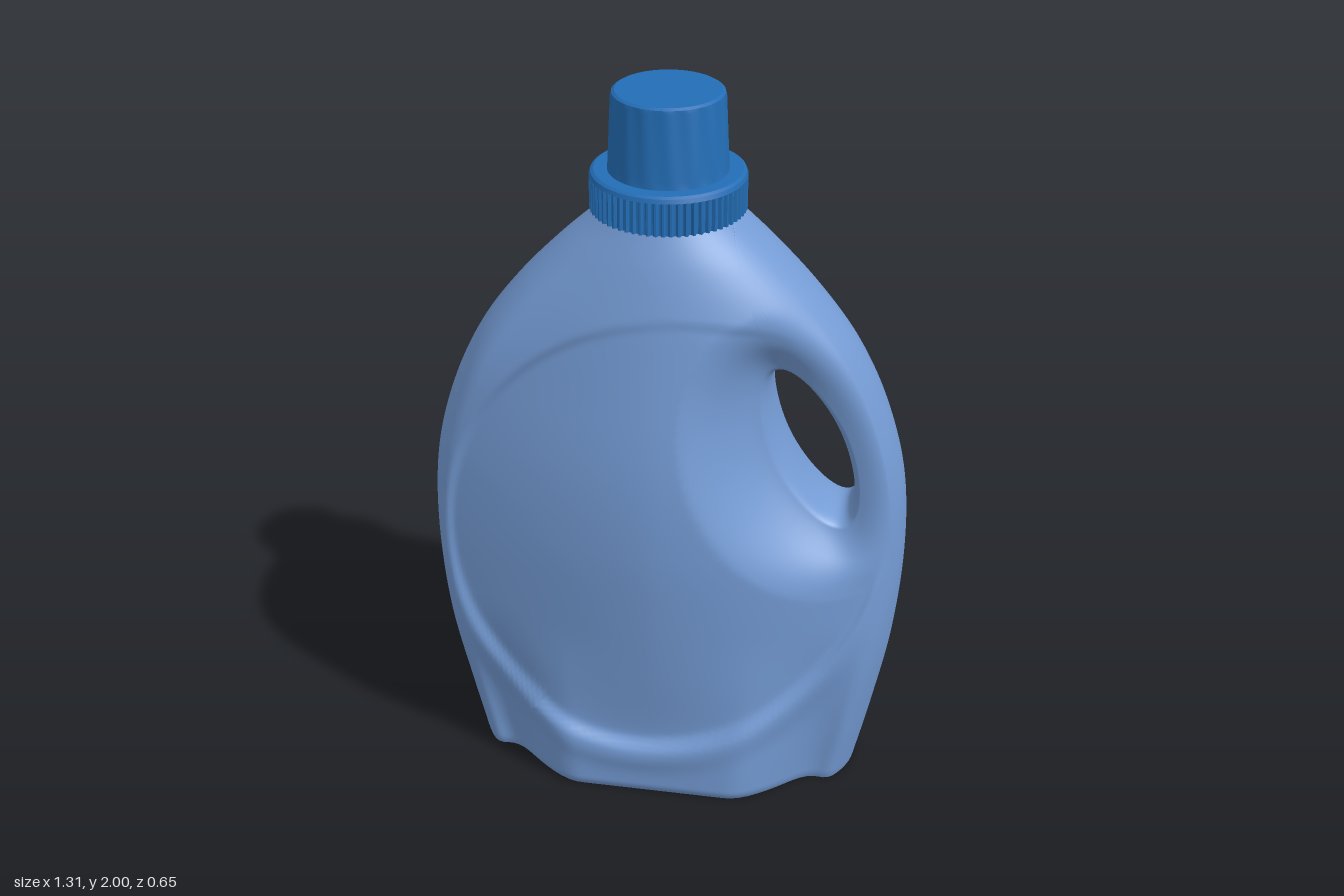
import * as THREE from 'three';
import { mergeVertices, toCreasedNormals } from 'three/addons/utils/BufferGeometryUtils.js';

const step = THREE.MathUtils.smoothstep;
const lerp = THREE.MathUtils.lerp;
const fall = (v, hi, lo) => 1 - step(v, lo, hi);
const bell = (v, c, s) => Math.exp(-(((v - c) / s) ** 2));

// Smooth interpolation through [y, value] pairs
function profile(pts) {
  const n = pts.length - 1;
  const slope = (i) => {
    const a = pts[Math.max(i - 1, 0)], b = pts[Math.min(i + 1, n)];
    return (b[1] - a[1]) / (b[0] - a[0]);
  };
  return (y) => {
    let i = 0;
    while (i < n - 1 && y > pts[i + 1][0]) i++;
    const [y0, v0] = pts[i], [y1, v1] = pts[i + 1];
    const h = y1 - y0, t = Math.min(1, Math.max(0, (y - y0) / h));
    const t2 = t * t, t3 = t2 * t;
    return (2 * t3 - 3 * t2 + 1) * v0 + (t3 - 2 * t2 + t) * h * slope(i)
      + (3 * t2 - 2 * t3) * v1 + (t3 - t2) * h * slope(i + 1);
  };
}

const TOP = 1.73;
// Half width and half depth of the bottle by height
const halfWidth = profile([[0, 0.543], [0.2, 0.587], [0.45, 0.633], [0.72, 0.654], [0.95, 0.641],
  [1.15, 0.588], [1.32, 0.508], [1.46, 0.405], [1.58, 0.292], [1.69, 0.175], [TOP, 0.155]]);
const halfDepth = profile([[0, 0.296], [0.1, 0.297], [0.2, 0.298], [0.4, 0.317], [0.6, 0.332],
  [0.8, 0.341], [1, 0.334], [1.2, 0.307], [1.4, 0.266], [1.5, 0.24], [1.6, 0.209], [1.69, 0.172], [TOP, 0.155]]);

// Tilted elliptical handle hole and the wider recess around it
const hole = { x: 0.395, y: 1.058, cos: 0.4, sin: -0.916, a: 0.227, b: 0.078 };
const recess = { a: 0.44, b: 0.3 };
function holeFrame(x, y) {
  const dx = x - hole.x, dy = y - hole.y;
  return [dx * hole.cos + dy * hole.sin, -dx * hole.sin + dy * hole.cos];
}
// 0 on the hole edge, 1 on the recess edge
function recessParam(x, y) {
  const [p, q] = holeFrame(x, y);
  const ang = Math.atan2(q / hole.b, p / hole.a);
  const c = Math.cos(ang), s = Math.sin(ang);
  const inner = Math.hypot(hole.a * c, hole.b * s);
  const r = Math.hypot(p, q);
  const outer = r / Math.hypot(p / recess.a, q / recess.b);
  return Math.min(1, Math.max(0, (r - inner) / (outer - inner)));
}

function softMin(a, b, k) {
  const h = Math.max(k - Math.abs(a - b), 0) / k;
  return Math.min(a, b) - h * h * k * 0.25;
}

// Half thickness of the bottle at any point of its front outline
function thickness(x, y) {
  const w = halfWidth(y), D = halfDepth(y);
  const u = Math.min(1, Math.abs(x) / w);
  const q = recessParam(x, y);
  const low = fall(y, 0.55, 0);

  // side band, thinning upward into the grip
  const grip = step(x, 0, 0.4);
  const E = lerp(lerp(0.165, 0.154, low), lerp(0.154, 0.117, step(y, 0.1, 0.9)), grip);

  // bulging faces, with flutes beside the foot
  const bulge = Math.max(0, 1 - (u / 0.95) ** 1.7);
  let z = E + (D - E) * lerp(bulge, fall(u, 0.86, 0.38), low) - 0.013 * low * bell(u, 0.77, 0.1);

  // sunken oval panel, leaning right, with a raised lower rim
  const e = Math.hypot((x - 0.015 - 0.09 * (y - 0.812)) / 0.615, (y - 0.812) / 0.668);
  const sunk = 0.016 + 0.006 * fall(y, 0.8, 0.2);
  z -= sunk * fall(e, 1.0, 0.945) * step(q, 0.5, 1);
  z += 0.01 * fall(y, 0.8, 0.35) * fall(u, 1, 0.7) * bell(e, 1.03, 0.065);

  // rounded side wall, turning into a round neck
  const edge = E * Math.sqrt(Math.max(0, w - Math.abs(x)) / lerp(0.045, 0.06, low));
  z = softMin(z, edge, 0.03);
  z = lerp(z, D * Math.sqrt(Math.max(0, 1 - u * u)), step(y, 1.2, 1.65));

  // recess sinking to the hole
  const lip = 0.1 * Math.sqrt(1 - (1 - Math.min(1, q / 0.14)) ** 2);
  z = lerp(Math.min(lip, z), z, 0.35 * q + 0.65 * step(q, 0.04, 1));

  // small rounding of the foot
  if (y < 0.03) z *= 1 - 0.04 * (1 - y / 0.03) ** 2;
  return Math.max(0, z);
}

// Outline points, counter-clockwise from the lower right corner
function outline() {
  const pts = [], SIDE = 90, NECK = 24, BASE = 60;
  for (let i = 0; i < SIDE; i++) { const y = TOP * i / SIDE; pts.push([halfWidth(y), y]); }
  for (let i = 0; i < NECK; i++) pts.push([halfWidth(TOP) * Math.cos(Math.PI * i / NECK), TOP]);
  for (let i = 0; i < SIDE; i++) { const y = TOP * (1 - i / SIDE); pts.push([-halfWidth(y), y]); }
  for (let i = 0; i < BASE; i++) pts.push([-halfWidth(0) * Math.cos(Math.PI * i / BASE), 0]);
  return pts;
}

function makeGeometry(pos, idx) {
  const g = new THREE.BufferGeometry();
  g.setAttribute('position', new THREE.Float32BufferAttribute(pos, 3));
  g.setIndex(idx);
  return g;
}

// Front and back skins, swept from the hole edge to the outline
function bodyGeometry() {
  const out = outline(), n = out.length, R = 100, pos = [], idx = [];
  for (const side of [1, -1]) {
    const base = pos.length / 3;
    for (const [ox, oy] of out) {
      const [p, q] = holeFrame(ox, oy);
      const k = 1 / Math.hypot(p / hole.a, q / hole.b);
      for (let j = 0; j <= R; j++) {
        const t = lerp(k, 1, 0.5 - 0.5 * Math.cos(Math.PI * j / R));
        const x = lerp(hole.x, ox, t), y = lerp(hole.y, oy, t);
        pos.push(x, y, j === 0 ? 0 : side * thickness(x, y));
      }
    }
    for (let i = 0; i < n; i++) for (let j = 0; j < R; j++) {
      const a = base + i * (R + 1) + j, d = base + ((i + 1) % n) * (R + 1) + j;
      if (side > 0) idx.push(a, a + 1, d + 1, a, d + 1, d);
      else idx.push(a, d + 1, a + 1, a, d, d + 1);
    }
  }
  const g = mergeVertices(makeGeometry(pos, idx), 1e-5);
  g.computeVertexNormals();
  return g;
}

// Flat underside
function footGeometry() {
  const pos = [], idx = [], N = 60, w = halfWidth(0);
  for (let i = 0; i <= N; i++) {
    const x = -w * Math.cos(Math.PI * i / N), z = thickness(x, 0);
    pos.push(x, 0, z, x, 0, -z);
    if (i < N) { const f = 2 * i; idx.push(f, f + 1, f + 3, f, f + 3, f + 2); }
  }
  const g = makeGeometry(pos, idx);
  g.computeVertexNormals();
  return g;
}

// Ribbed ring with narrow teeth
function collarGeometry() {
  const shape = new THREE.Shape(), TEETH = 64;
  for (let i = 0; i < TEETH * 4; i++) {
    const a = Math.PI * 2 * i / (TEETH * 4), r = i % 4 < 2 ? 0.204 : 0.196;
    shape[i ? 'lineTo' : 'moveTo'](r * Math.cos(a), r * Math.sin(a));
  }
  const g = new THREE.ExtrudeGeometry(shape, { depth: 0.09, bevelEnabled: false });
  return g.rotateX(-Math.PI / 2).translate(-0.004, 1.685, 0);
}

// Tapered cap with shallow flutes
function capGeometry() {
  const pts = [[0.204, 1.774], [0.2, 1.785], [0.192, 1.79], [0.157, 1.79], [0.155, 1.81],
    [0.147, 1.985], [0.144, 1.995], [0.136, 2], [0, 2]].map(([r, y]) => new THREE.Vector2(r, y));
  const g = new THREE.LatheGeometry(pts, 96);
  const p = g.attributes.position;
  for (let i = 0; i < p.count; i++) {
    const x = p.getX(i), z = p.getZ(i), y = p.getY(i);
    if (y < 1.8 || y > 1.99) continue;
    const k = 1 - 0.018 * (0.5 + 0.5 * Math.cos(16 * Math.atan2(x, z)));
    p.setXYZ(i, x * k, y, z * k);
  }
  return toCreasedNormals(g, 0.5).translate(-0.004, 0, 0);
}

export function createModel() {
  const bottleBlue = new THREE.MeshStandardMaterial({ color: 0x749bd4 });
  bottleBlue.name = 'bottleBlue';
  const capBlue = new THREE.MeshStandardMaterial({ color: 0x236db5 });
  capBlue.name = 'capBlue';

  const model = new THREE.Group();
  model.name = 'bottle';
  const add = (name, geometry, material) => {
    const mesh = new THREE.Mesh(geometry, material);
    mesh.name = name;
    model.add(mesh);
  };
  add('body', bodyGeometry(), bottleBlue);
  add('foot', footGeometry(), bottleBlue);
  add('collar', collarGeometry(), capBlue);
  add('cap', capGeometry(), capBlue);
  return model;
}
